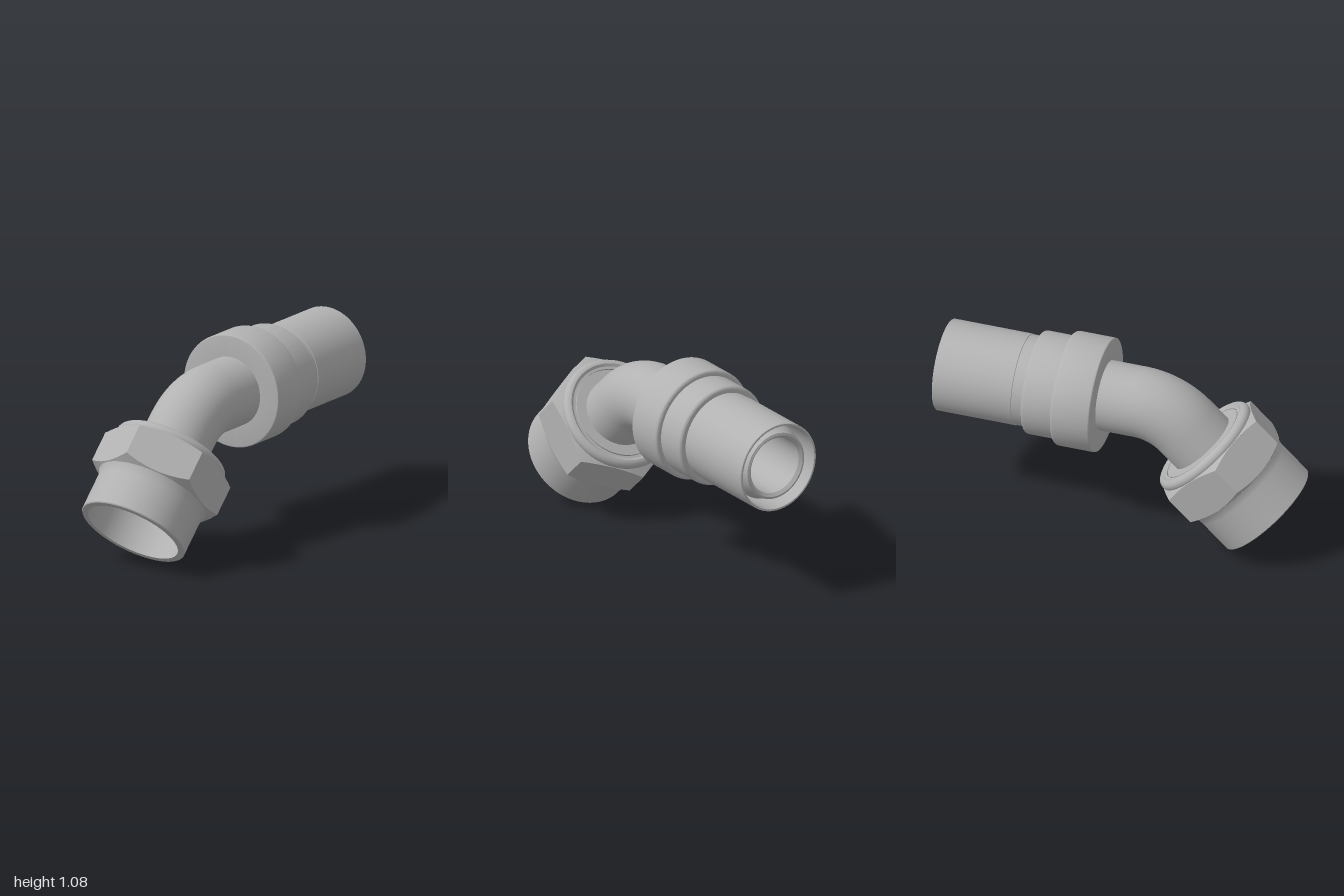
import * as THREE from 'three';
import { toCreasedNormals } from 'three/addons/utils/BufferGeometryUtils.js';

const AXIS_Y = 0.77;          // height of the straight leg
const END = [-0.79, 0.21];    // centre of the nut's open end
const D = Math.SQRT1_2;       // the nut leg runs at 45 degrees
const FLAT = 0.316;           // half the width across the hexagon's flats

const steel = new THREE.MeshStandardMaterial({ color: 0xb2b2b2, side: THREE.DoubleSide });
steel.name = 'steel grey';

function mesh(name, geometry, parent) {
  const m = new THREE.Mesh(geometry, steel);
  m.name = name;
  parent.add(m);
  return m;
}

// Turned part: [radius, height] profile, with sharp edges kept
function turned(profile) {
  const pts = profile.map(([r, h]) => new THREE.Vector2(r, h));
  return toCreasedNormals(new THREE.LatheGeometry(pts, 72), 0.5);
}

// Points of an arc in a profile, angles in degrees
function arc(r, h, radius, from, to, n = 4) {
  return Array.from({ length: n + 1 }, (_, i) => {
    const a = THREE.MathUtils.degToRad(from + ((to - from) * i) / n);
    return [r + radius * Math.cos(a), h + radius * Math.sin(a)];
  });
}

// Centre line: slanted leg, 45 degree bend, straight leg
class BentPath extends THREE.Curve {
  getPoint(t, target = new THREE.Vector3()) {
    const R = 0.36, cx = -0.08, s0 = 0.2, s1 = 0.643, endX = 0.9;
    const leg = s1 - s0, bend = (R * Math.PI) / 4;
    const d = t * (leg + bend + endX - cx);
    if (d < leg) return target.set(END[0] + (s0 + d) * D, END[1] + (s0 + d) * D, 0);
    if (d < leg + bend) {
      const a = Math.PI * 0.75 - (d - leg) / R;
      return target.set(cx + R * Math.cos(a), AXIS_Y - R + R * Math.sin(a), 0);
    }
    return target.set(cx + d - leg - bend, AXIS_Y, 0);
  }
}

// Heights of the two chamfer cones at a given radius
const lowCone = r => 0.247 + (r - 0.304) * 0.59;
const highCone = r => 0.475 - (r - 0.315) * 0.45;

// Cone whose outer rim follows the hexagon
function hexChamfer(innerR, cone) {
  const g = new THREE.LatheGeometry(
    [new THREE.Vector2(innerR, cone(innerR)), new THREE.Vector2(1, 0)], 96);
  const p = g.attributes.position;
  for (let i = 1; i < p.count; i += 2) {
    const phi = Math.atan2(p.getX(i), p.getZ(i));
    const off = phi - Math.round(phi / (Math.PI / 3)) * (Math.PI / 3);
    const r = FLAT / Math.cos(off);
    p.setXYZ(i, r * Math.sin(phi), cone(r), r * Math.cos(phi));
  }
  g.computeVertexNormals();
  return g;
}

// One flat of the hexagon, with edges curved by the chamfers
function hexFlat(hole) {
  const w = FLAT * Math.tan(Math.PI / 6), n = 16, pts = [];
  for (let i = 0; i <= n; i++) {
    const t = -w + (2 * w * i) / n;
    pts.push(new THREE.Vector2(t, lowCone(Math.hypot(t, FLAT))));
  }
  for (let i = n; i >= 0; i--) {
    const t = -w + (2 * w * i) / n;
    pts.push(new THREE.Vector2(t, highCone(Math.hypot(t, FLAT))));
  }
  const shape = new THREE.Shape(pts);
  if (hole) shape.holes.push(new THREE.Path().absarc(hole.x, hole.y, hole.r, 0, Math.PI * 2, true));
  return new THREE.ShapeGeometry(shape, 16);
}

function buildNut() {
  const nut = new THREE.Group();
  nut.name = 'unionNut';
  nut.position.set(END[0], END[1], 0);
  nut.rotation.z = -Math.PI / 4;

  // round skirt, rolled rim and bore
  mesh('nutBody', turned([
    [0.262, 0], [0.293, 0], [0.298, 0.005], [0.298, 0.2], [0.3, 0.225], [0.31, 0.25],
    [0.27, 0.252], [0.27, 0.45], [0.29, 0.455],
    ...arc(0.282, 0.488, 0.033, -60, 90, 8),
    [0.268, 0.512], [0.254, 0.512], [0.254, 0.5], [0.248, 0.5], [0.248, 0.512],
    [0.188, 0.512], [0.188, 0.3], [0.262, 0.25], [0.262, 0],
  ]), nut);

  // hexagon flats, one of them drilled
  const hole = { x: 0.106, y: 0.387, r: 0.038 };
  for (let k = 0; k < 6; k++) {
    const side = new THREE.Group();
    side.name = 'hexSide';
    side.rotation.y = (k * Math.PI) / 3;
    nut.add(side);
    mesh('hexFlat', hexFlat(k === 2 && hole), side).position.z = FLAT;
    if (k === 2) {
      const drill = mesh('wireHole', turned([[0, -0.06], [hole.r, -0.04], [hole.r, 0]]), side);
      drill.rotation.x = Math.PI / 2;
      drill.position.set(hole.x, hole.y, FLAT);
    }
  }
  mesh('lowerChamfer', hexChamfer(0.298, lowCone), nut);
  mesh('upperChamfer', hexChamfer(0.28, highCone), nut);

  // tapered seat inside the nut
  mesh('sealingNose', turned([
    [0.157, 0.17], [0.2, 0.17], [0.245, 0.25], [0.245, 0.29], [0.157, 0.29], [0.157, 0.17],
  ]), nut);
  return nut;
}

function buildSleeve() {
  const sleeve = new THREE.Group();
  sleeve.name = 'crimpSleeve';
  sleeve.position.y = AXIS_Y;
  sleeve.rotation.z = -Math.PI / 2;

  // stepped collar and hose ferrule
  mesh('ferrule', turned([
    [0.185, 0.108], ...arc(0.302, 0.116, 0.008, -90, 0), ...arc(0.292, 0.31, 0.018, 0, 90),
    [0.28, 0.328], ...arc(0.262, 0.482, 0.018, 0, 90),
    [0.245, 0.5], [0.245, 0.56], [0.248, 0.562], [0.248, 0.997], [0.245, 1],
    [0.236, 1], [0.232, 0.99], [0.232, 0.55], [0.185, 0.55], [0.185, 0.108],
  ]), sleeve);

  // hose insert with bevelled tip
  mesh('insertTip', turned([
    [0.185, 0.56], [0.21, 0.56], [0.21, 0.9], [0.19, 0.945], [0.187, 0.975],
    [0.174, 0.98], [0.157, 0.965], [0.157, 0.88],
  ]), sleeve);
  return sleeve;
}

export function createModel() {
  const model = new THREE.Group();
  model.name = 'hoseElbowFitting';
  const path = new BentPath();
  mesh('elbowTube', new THREE.TubeGeometry(path, 120, 0.19, 64), model);
  mesh('elbowBore', new THREE.TubeGeometry(path, 120, 0.157, 64), model);
  model.add(buildNut(), buildSleeve());
  return model;
}
